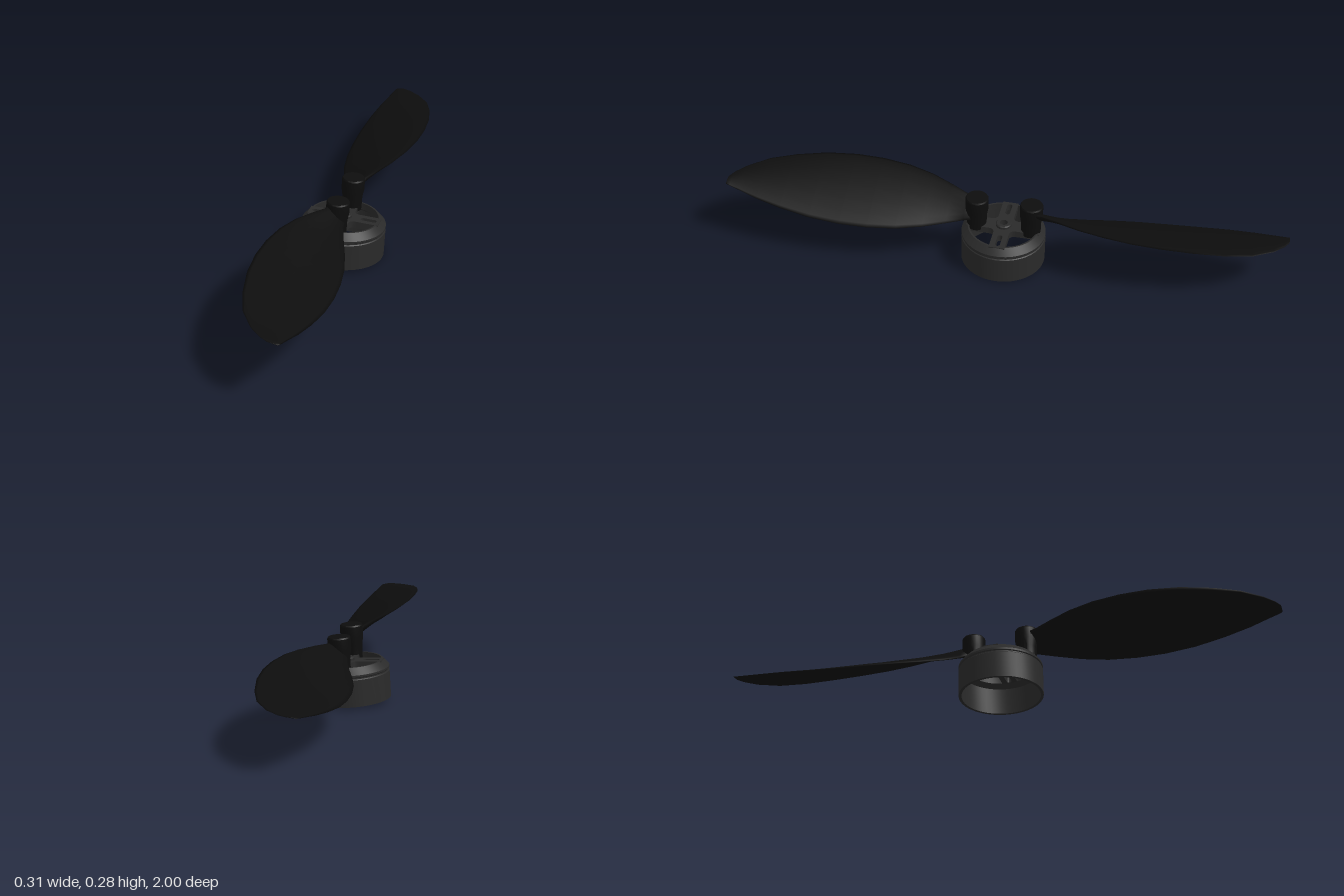
import * as THREE from 'three';
import { toCreasedNormals } from 'three/addons/utils/BufferGeometryUtils.js';

const hubMat = new THREE.MeshStandardMaterial({ color: 0x2a2a2a });
const bladeMat = new THREE.MeshStandardMaterial({ color: 0x0d0d0d });

function part(name, geometry, material, parent) {
  const mesh = new THREE.Mesh(geometry, material);
  mesh.name = name;
  parent.add(mesh);
  return mesh;
}

function lathe(points, segments) {
  const profile = points.map(([r, y]) => new THREE.Vector2(r, y));
  return toCreasedNormals(new THREE.LatheGeometry(profile, segments), 0.5);
}

// Blade stations: z, left edge x, right edge x, half rise of the chord, half thickness
const STATIONS = [
  [0.09, -0.03, 0.03, 0.022, 0.018],
  [0.14, -0.038, 0.036, 0.032, 0.015],
  [0.20, -0.065, 0.055, 0.042, 0.012],
  [0.28, -0.1, 0.083, 0.05, 0.011],
  [0.37, -0.126, 0.108, 0.055, 0.01],
  [0.47, -0.141, 0.124, 0.056, 0.009],
  [0.57, -0.144, 0.131, 0.054, 0.008],
  [0.68, -0.135, 0.13, 0.047, 0.007],
  [0.79, -0.112, 0.12, 0.034, 0.006],
  [0.88, -0.08, 0.105, 0.022, 0.005],
  [0.95, -0.03, 0.088, 0.011, 0.004],
  [0.985, 0.01, 0.08, 0.006, 0.003],
  [1.0, 0.038, 0.076, 0.003, 0.002],
];

// Twisted, cambered blade lofted through the stations
function bladeGeometry() {
  const half = 8, loop = half * 2, pos = [], index = [];
  for (const [z, left, right, rise, thick] of STATIONS) {
    const yc = 0.194 + 0.013 * z * z;
    const camber = 0.03 * (right - left);
    for (let j = 0; j < loop; j++) {
      const s = -Math.cos((j / half) * Math.PI);
      const side = j <= half ? 1 : -1;
      const bulge = 1 - s * s;
      const x = (left + right) / 2 + (s * (right - left)) / 2;
      pos.push(x, yc - rise * s + camber * (bulge - 0.5) + side * thick * Math.sqrt(bulge), z);
    }
  }
  const last = (STATIONS.length - 1) * loop;
  for (let i = 0; i < STATIONS.length - 1; i++) {
    for (let j = 0; j < loop; j++) {
      const a = i * loop + j, b = i * loop + ((j + 1) % loop);
      index.push(a, a + loop, b, b, a + loop, b + loop);
    }
  }
  for (let j = 1; j < loop - 1; j++) {
    index.push(0, j, j + 1, last, last + j + 1, last + j);
  }
  const geo = new THREE.BufferGeometry();
  geo.setAttribute('position', new THREE.Float32BufferAttribute(pos, 3));
  geo.setIndex(index);
  geo.computeVertexNormals();
  return geo;
}

// Four-armed plate with filleted corners, two slots and a shaft hole
function spiderGeometry() {
  const w = 0.028, reach = 0.13, f = 0.05;
  const shape = new THREE.Shape();
  shape.moveTo(reach, -w);
  for (let k = 0; k < 4; k++) {
    const c = Math.round(Math.cos((k * Math.PI) / 2)), s = Math.round(Math.sin((k * Math.PI) / 2));
    const at = (x, y) => [x * c - y * s, x * s + y * c];
    shape.lineTo(...at(reach, -w));
    shape.lineTo(...at(reach, w));
    shape.lineTo(...at(f, w));
    shape.quadraticCurveTo(...at(w, w), ...at(w, f));
  }
  const shaft = new THREE.Path();
  shaft.absarc(0, 0, 0.014, 0, Math.PI * 2, true);
  shape.holes.push(shaft);
  for (const side of [-1, 1]) {
    const slot = new THREE.Path();
    slot.absarc(side * 0.09 - 0.02, 0, 0.009, Math.PI / 2, Math.PI * 1.5, false);
    slot.absarc(side * 0.09 + 0.02, 0, 0.009, -Math.PI / 2, Math.PI / 2, false);
    shape.holes.push(slot);
  }
  const geo = new THREE.ExtrudeGeometry(shape, { depth: 0.025, bevelEnabled: false, curveSegments: 10 });
  geo.rotateX(-Math.PI / 2);
  return geo.translate(0, 0.112, 0);
}

export function createModel() {
  const root = new THREE.Group();
  root.name = 'propeller';

  // The whole rotor leans slightly to one side and backwards
  const rotor = new THREE.Group();
  rotor.name = 'rotor';
  rotor.position.set(-0.006, 0.0094, 0.0066);
  rotor.rotation.set(-0.033, 0, -0.053);
  root.add(rotor);

  // Open bell with a shallow groove and a chamfered top rim
  part('bellRing', lathe([
    [0.140, 0], [0.150, 0], [0.150, 0.096], [0.147, 0.099], [0.147, 0.103],
    [0.150, 0.106], [0.150, 0.113], [0.128, 0.137], [0.122, 0.137],
    [0.122, 0.112], [0.140, 0.098], [0.140, 0],
  ], 48), hubMat, rotor);

  part('spokePlate', spiderGeometry(), hubMat, rotor);

  // Raised collar around the shaft hole
  part('shaftCollar', lathe([
    [0.014, 0.106], [0.028, 0.106], [0.028, 0.145], [0.025, 0.148], [0.014, 0.148], [0.014, 0.106],
  ], 24), hubMat, rotor);

  const bossGeo = lathe([
    [0, 0.122], [0.035, 0.122], [0.036, 0.17], [0.041, 0.2], [0.041, 0.24], [0.038, 0.245], [0, 0.245],
  ], 24);
  const bladeGeo = bladeGeometry();

  // Two opposite arms, each with a mounting boss and a blade
  for (let i = 0; i < 2; i++) {
    const arm = new THREE.Group();
    arm.name = i === 0 ? 'frontArm' : 'backArm';
    arm.rotation.y = i * Math.PI;
    rotor.add(arm);
    part('bladeBoss', bossGeo, bladeMat, arm).position.z = 0.098;
    part('blade', bladeGeo, bladeMat, arm);
  }
  return root;
}
